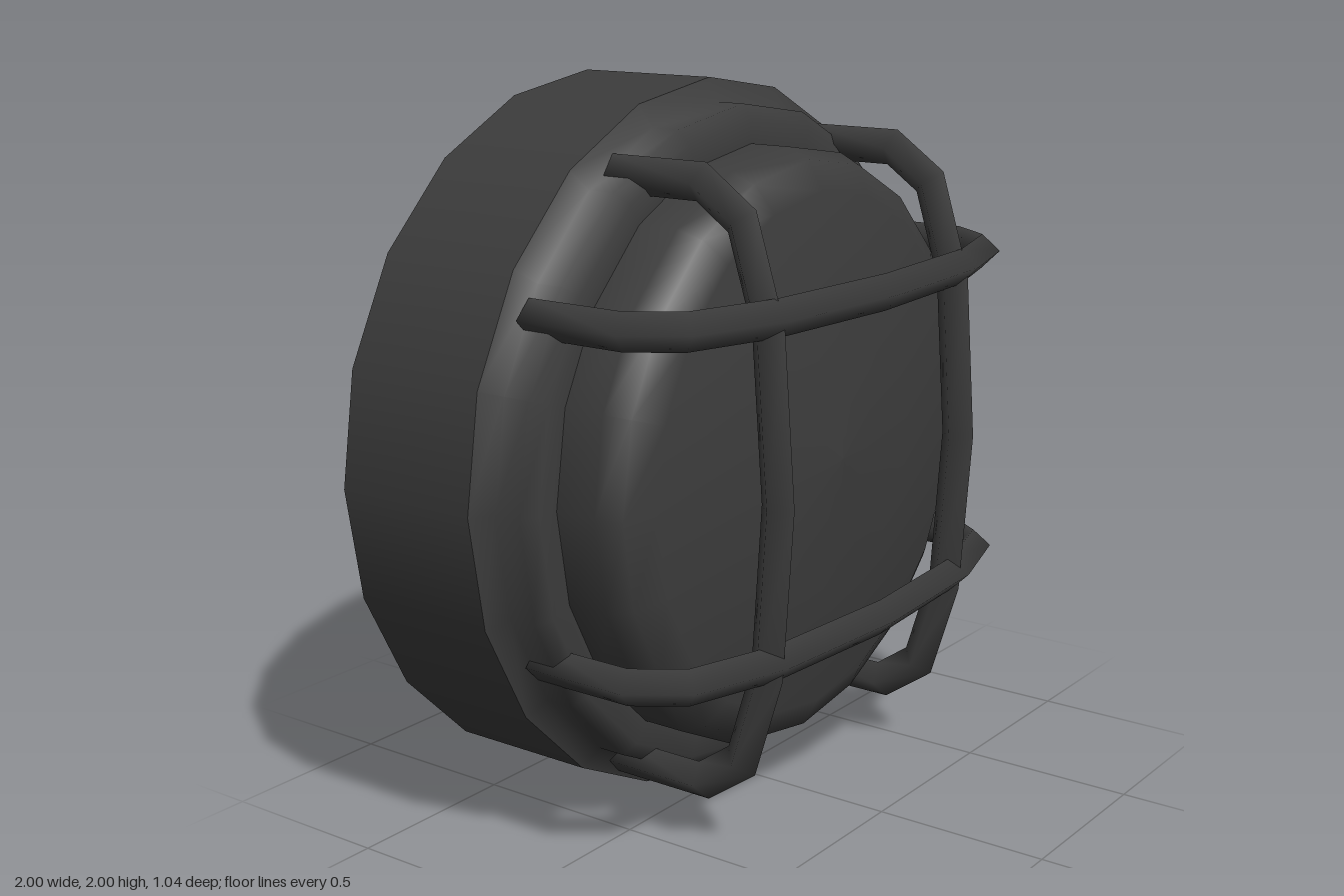
import * as THREE from 'three';

const SIDES = 20;
const TUBE_R = 0.05;
const material = new THREE.MeshStandardMaterial({ color: 0x3c3c3c, side: THREE.DoubleSide });

// Ring or dome turned around the z axis from [radius, z] points
function turned(name, profile) {
  const points = profile.map(([r, z]) => new THREE.Vector2(r, z));
  const geometry = new THREE.LatheGeometry(points, SIDES).rotateX(Math.PI / 2);
  const mesh = new THREE.Mesh(geometry, material);
  mesh.name = name;
  mesh.position.y = 1;
  return mesh;
}

// Four-sided bar with mitred bends, following [x, z] points in the xz plane
function bentBar(path) {
  const pts = path.map(([x, z]) => new THREE.Vector2(x, z));
  const positions = [];
  const index = [];
  pts.forEach((p, i) => {
    const before = p.clone().sub(pts[Math.max(i - 1, 0)]).normalize();
    const after = pts[Math.min(i + 1, pts.length - 1)].clone().sub(p).normalize();
    const tangent = before.clone().add(after).normalize();
    const reach = TUBE_R / Math.max(tangent.dot(i ? before : after), 0.5);
    const nx = -tangent.y * reach, nz = tangent.x * reach;
    positions.push(p.x + nx, 0, p.y + nz, p.x, TUBE_R, p.y,
      p.x - nx, 0, p.y - nz, p.x, -TUBE_R, p.y);
    if (i === 0) return;
    for (let k = 0; k < 4; k++) {
      const a = (i - 1) * 4 + k, b = (i - 1) * 4 + (k + 1) % 4;
      index.push(a, b, a + 4, b, b + 4, a + 4);
    }
  });
  const geometry = new THREE.BufferGeometry();
  geometry.setAttribute('position', new THREE.Float32BufferAttribute(positions, 3));
  geometry.setIndex(index);
  geometry.computeVertexNormals();
  return geometry;
}

export function createModel() {
  const model = new THREE.Group();
  model.name = 'bulkheadLamp';

  // Open-backed housing, stepped bezel and shallow domed lens
  model.add(
    turned('housing', [[1, -0.52], [1, -0.09]]),
    turned('bezel', [[1, -0.09], [0.935, -0.06], [0.935, 0.02], [0.895, 0.05], [0.83, 0.05]]),
    turned('lens', [[0.83, 0.05], [0.83, 0.17], [0.8, 0.235], [0.72, 0.28], [0.37, 0.335], [0, 0.357]]),
  );

  // Guard bars share one symmetric bent path
  const half = [[-0.803, -0.06], [-0.803, 0.235], [-0.715, 0.36], [-0.455, 0.44]];
  const path = [...half, [0, 0.472], ...half.map(([x, z]) => [-x, z]).reverse()];
  const barGeometry = bentBar(path);
  const guard = new THREE.Group();
  guard.name = 'guard';
  for (const side of [-1, 1]) {
    const across = new THREE.Mesh(barGeometry, material);
    across.name = side < 0 ? 'lowerGuardBar' : 'upperGuardBar';
    across.position.set(0.015, 1.017 + side * 0.452, 0);
    // Upright bars sit slightly behind the crossing ones
    const upright = new THREE.Mesh(barGeometry, material);
    upright.name = side < 0 ? 'rightGuardBar' : 'leftGuardBar';
    upright.rotation.z = Math.PI / 2;
    upright.position.set(0.01 + side * 0.452, 0.985, -0.024);
    guard.add(across, upright);
  }
  model.add(guard);
  return model;
}
